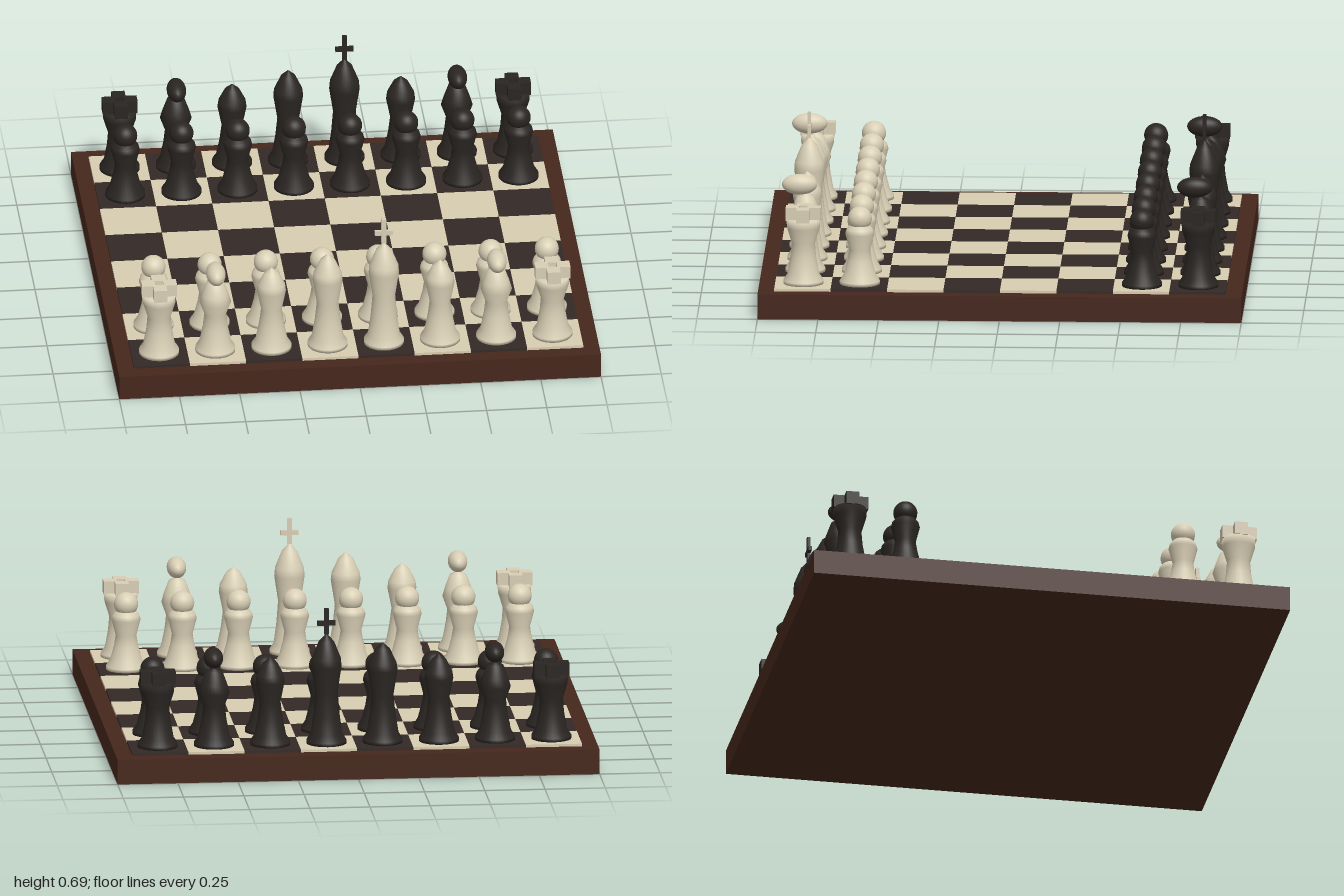
import * as THREE from 'three';

const mat = (color) => new THREE.MeshStandardMaterial({ color, side: THREE.DoubleSide });
const WOOD = mat(0x45271c);
const DARK_TILE = mat(0x332a26);
const LIGHT_TILE = mat(0xd8cdb0);
const IVORY = mat(0xd8ceb4);
const EBONY = mat(0x2a2522);

const CELL = 0.2333;
const TILE_TOP = 0.115;
const at = (i) => (i - 3.5) * CELL;

function add(parent, name, geometry, material, x = 0, y = 0, z = 0) {
  const mesh = new THREE.Mesh(geometry, material);
  mesh.name = name;
  mesh.position.set(x, y, z);
  parent.add(mesh);
  return mesh;
}

// Turned body: the shared foot followed by a piece's own [radius, height] profile
const FOOT = [[0, 0], [0.083, 0], [0.083, 0.014], [0.066, 0.04]];
const turned = (profile) => new THREE.LatheGeometry(
  [...FOOT, ...profile].map(([r, y]) => new THREE.Vector2(r, y)), 28);

const BODIES = {
  pawn: turned([[0.05, 0.1], [0.043, 0.145], [0.06, 0.21], [0.055, 0.23], [0.033, 0.255], [0, 0.262]]),
  rook: turned([[0.053, 0.11], [0.048, 0.17], [0.068, 0.235], [0.07, 0.272], [0, 0.272]]),
  knight: turned([[0.052, 0.11], [0.045, 0.17], [0.065, 0.225], [0.055, 0.26], [0.035, 0.315], [0, 0.335]]),
  bishop: turned([[0.052, 0.11], [0.043, 0.18], [0.06, 0.265], [0.056, 0.295], [0.03, 0.345], [0, 0.37]]),
  queen: turned([[0.053, 0.12], [0.045, 0.2], [0.062, 0.305], [0.058, 0.335], [0.03, 0.395], [0, 0.422]]),
  king: turned([[0.055, 0.12], [0.047, 0.22], [0.063, 0.325], [0.06, 0.36], [0.032, 0.43], [0, 0.465]]),
};
const BALL = new THREE.SphereGeometry(1, 24, 16);
const MERLON = new THREE.BoxGeometry(0.055, 0.055, 0.055);
const CROSS_POST = new THREE.BoxGeometry(0.02, 0.11, 0.014);
const CROSS_ARM = new THREE.BoxGeometry(0.075, 0.02, 0.014);

// Parts that sit on top of each turned body
const TOPS = {
  pawn: (g, m) => add(g, 'head', BALL, m, 0, 0.275, 0).scale.setScalar(0.05),
  rook: (g, m) => {
    for (const [dx, dz] of [[1, 0], [-1, 0], [0, 1], [0, -1]]) {
      add(g, 'battlement', MERLON, m, dx * 0.045, 0.295, dz * 0.045);
    }
  },
  knight: (g, m) => add(g, 'head', BALL, m, 0, 0.365, 0.024).scale.set(0.04, 0.043, 0.073),
  king: (g, m) => {
    add(g, 'crossPost', CROSS_POST, m, 0, 0.515, 0);
    add(g, 'crossArm', CROSS_ARM, m, 0, 0.508, 0);
  },
};

function makePiece(kind, material) {
  const piece = new THREE.Group();
  piece.name = kind;
  add(piece, 'body', BODIES[kind], material);
  TOPS[kind]?.(piece, material);
  return piece;
}

export function createModel() {
  const model = new THREE.Group();
  model.name = 'chessSet';

  // Board slab and the raised squares
  add(model, 'board', new THREE.BoxGeometry(2, 0.104, 2), WOOD, 0, 0.052, 0);
  const squares = new THREE.Group();
  squares.name = 'squares';
  model.add(squares);
  const tile = new THREE.BoxGeometry(CELL, 0.03, CELL);
  for (let row = 0; row < 8; row++) {
    for (let col = 0; col < 8; col++) {
      const material = (row + col) % 2 ? DARK_TILE : LIGHT_TILE;
      add(squares, 'square', tile, material, at(col), TILE_TOP - 0.015, at(row));
    }
  }

  // Two armies, ivory at the front and ebony at the back
  const order = ['rook', 'knight', 'bishop', 'queen', 'king', 'bishop', 'knight', 'rook'];
  for (const [name, material, backRow, pawnRow] of [
    ['ivoryPieces', IVORY, 7, 6], ['ebonyPieces', EBONY, 0, 1]]) {
    const army = new THREE.Group();
    army.name = name;
    model.add(army);
    order.forEach((kind, col) => {
      for (const [type, row] of [[kind, backRow], ['pawn', pawnRow]]) {
        const piece = makePiece(type, material);
        piece.position.set(at(col), TILE_TOP, at(row));
        army.add(piece);
      }
    });
  }
  return model;
}
